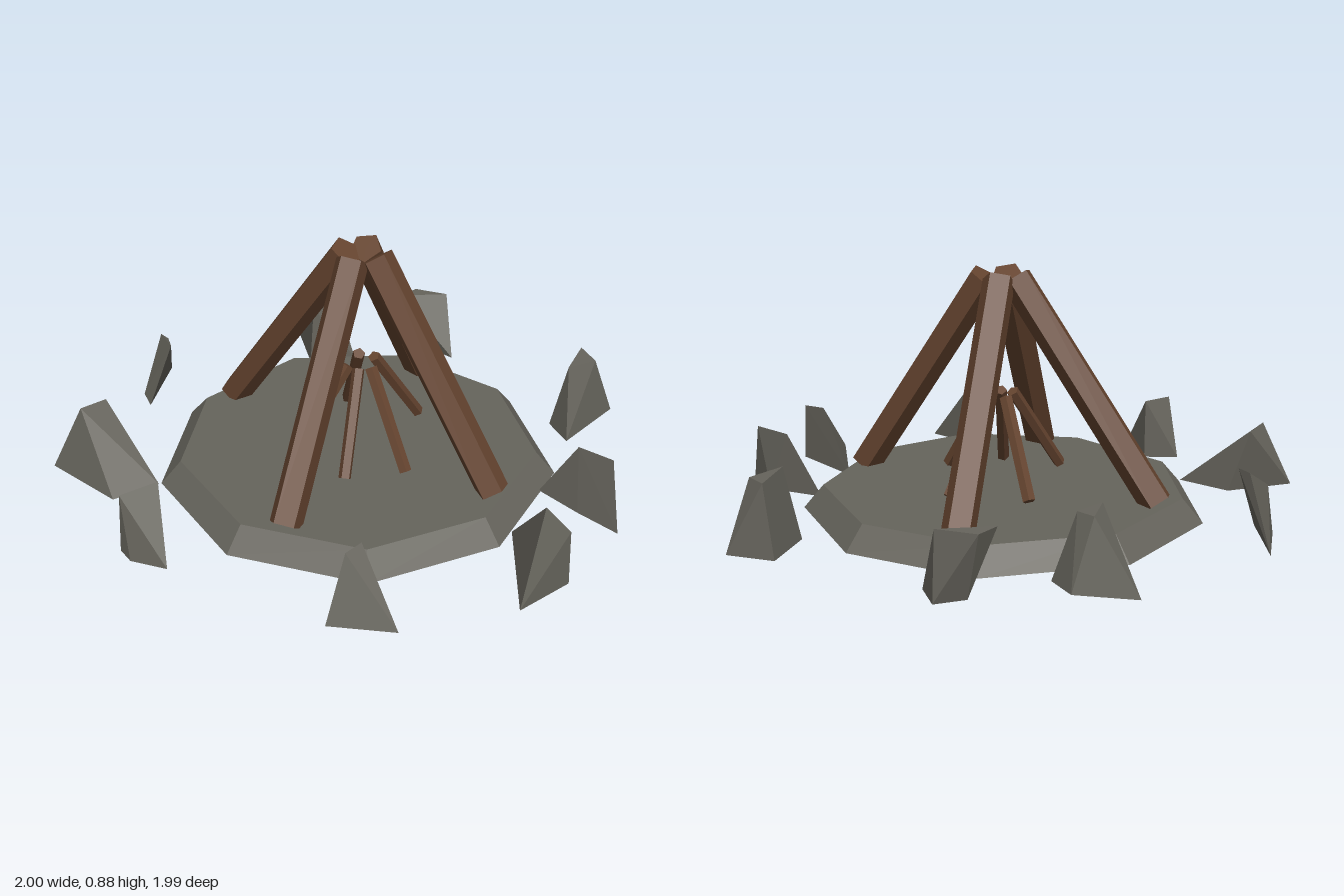
import * as THREE from 'three';
import { ConvexGeometry } from 'three/addons/geometries/ConvexGeometry.js';

function material(name, color) {
  const m = new THREE.MeshStandardMaterial({ color });
  m.name = name;
  m.flatShading = true;
  return m;
}

export function createModel() {
  const stone = material('stone grey', 0x66645c);
  const wood = material('wood brown', 0x65442f);
  const ash = material('ash grey', 0x66645c);
  ash.side = THREE.DoubleSide;
  const model = new THREE.Group();
  model.name = 'campfire';

  const add = (parent, name, geometry, mat) => {
    const mesh = new THREE.Mesh(geometry, mat);
    mesh.name = name;
    parent.add(mesh);
    return mesh;
  };
  const group = (name) => {
    const g = new THREE.Group();
    g.name = name;
    model.add(g);
    return g;
  };

  // Hollow nine-sided ash bed: sloping rim and a flat top, open underneath
  const outline = [
    [0.02, -0.71], [0.49, -0.52], [0.71, -0.07], [0.61, 0.41], [0.21, 0.71],
    [-0.29, 0.69], [-0.65, 0.36], [-0.72, -0.13], [-0.45, -0.56],
  ];
  const H = 0.085, inset = 0.9;
  const tri = [];
  outline.forEach(([x, z], i) => {
    const [u, w] = outline[(i + 1) % outline.length];
    const a = [x, 0, z], b = [u, 0, w];
    const c = [x * inset, H, z * inset], d = [u * inset, H, w * inset];
    tri.push(...a, ...c, ...b, ...b, ...c, ...d, ...c, 0, H, 0, ...d);
  });
  const bed = new THREE.BufferGeometry();
  bed.setAttribute('position', new THREE.Float32BufferAttribute(tri, 3));
  bed.computeVertexNormals();
  add(model, 'ashBed', bed, ash);

  // A straight prism running from its foot to its tip
  const beam = (parent, name, foot, tip, radius, sides, roll) => {
    const a = new THREE.Vector3(...foot), b = new THREE.Vector3(...tip);
    const geometry = new THREE.CylinderGeometry(radius, radius, a.distanceTo(b), sides);
    geometry.rotateY(roll).rotateX(Math.PI / 2);
    const mesh = add(parent, name, geometry, wood);
    mesh.position.copy(a).lerp(b, 0.5);
    mesh.lookAt(b);
  };

  // Four large logs leaning together
  const logs = group('logs');
  [
    [0.545, -0.175, 0.05, -0.025],
    [0.285, 0.52, 0.02, 0.055],
    [-0.56, 0.21, -0.05, 0.03],
    [-0.29, -0.49, -0.035, -0.04],
  ].forEach(([x, z, u, w]) => beam(logs, 'log', [x, 0.09, z], [u, 0.845, w], 0.06, 5, 0.3));

  // Thin kindling sticks under the logs
  const kindling = group('kindling');
  [[-0.015, -0.27], [0.28, 0.01], [0.19, 0.21], [-0.02, 0.3], [-0.25, -0.11]]
    .forEach(([x, z]) => beam(kindling, 'stick', [x, 0.1, z], [x * 0.2, 0.42, z * 0.2], 0.023, 5, 0.3));

  // Ring of jagged stones: ground corners [x, z], then raised corners [x, y, z]
  const stones = group('stones');
  const rock = (base, top) => {
    const points = [
      ...base.map(([x, z]) => new THREE.Vector3(x, 0, z)),
      ...top.map((p) => new THREE.Vector3(...p)),
    ];
    add(stones, 'stone', new ConvexGeometry(points), stone);
  };
  rock([[0.13, -0.92], [0.29, -1], [0.36, -0.7], [0.23, -0.73]],
    [[0.18, 0.255, -0.92], [0.28, 0.25, -0.9], [0.27, 0.26, -0.77]]);
  rock([[-0.5, -0.8], [-0.39, -0.74], [-0.55, -0.7]],
    [[-0.61, 0.235, -0.63], [-0.62, 0.235, -0.72], [-0.5, 0.24, -0.79]]);
  rock([[-0.93, -0.33], [-0.75, -0.45], [-0.63, -0.41], [-0.71, -0.24]],
    [[-0.71, 0.245, -0.26], [-0.77, 0.24, -0.37], [-0.7, 0.24, -0.37]]);
  rock([[-1, 0.26], [-0.88, 0.45], [-0.79, 0.47]],
    [[-0.93, 0.215, 0.33], [-0.85, 0.235, 0.34], [-0.79, 0.235, 0.36]]);
  rock([[-0.62, 0.96], [-0.3, 0.88], [-0.29, 0.7], [-0.5, 0.72]],
    [[-0.57, 0.24, 0.75], [-0.55, 0.25, 0.86]]);
  rock([[-0.1, 0.93], [0.16, 0.91], [0.05, 0.99], [-0.02, 0.99], [0, 0.84]],
    [[-0.01, 0.23, 0.98], [0, 0.235, 0.84]]);
  rock([[0.7, 0.64], [0.86, 0.47], [0.7, 0.48]],
    [[0.66, 0.23, 0.47], [0.67, 0.225, 0.54]]);
  rock([[0.67, -0.16], [0.84, -0.05], [1, 0.09], [0.99, -0.13]],
    [[0.86, 0.23, -0.13], [0.99, 0.215, -0.12]]);
  rock([[0.54, -0.4], [0.72, -0.42], [0.89, -0.45], [0.75, -0.48]],
    [[0.66, 0.23, -0.46], [0.8, 0.24, -0.49]]);

  return model;
}
